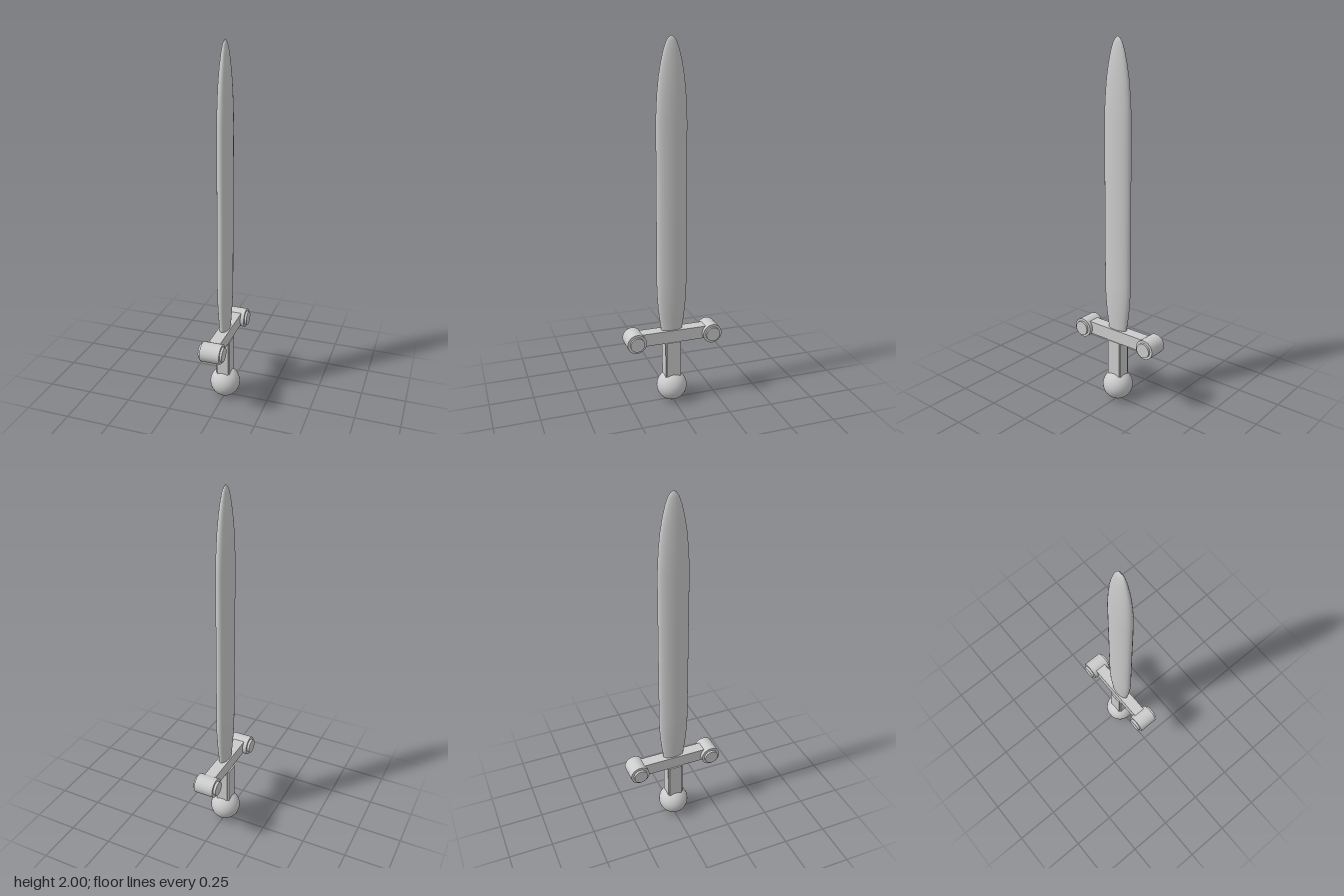
import * as THREE from 'three';

const material = new THREE.MeshStandardMaterial({ color: 0xcccccc });

function add(parent, name, geometry, x = 0, y = 0, z = 0) {
  const mesh = new THREE.Mesh(geometry, material);
  mesh.name = name;
  mesh.position.set(x, y, z);
  parent.add(mesh);
  return mesh;
}

// Cylinder lying along x between two x positions
function addBarrel(parent, name, radius, x0, x1, y, z) {
  const geometry = new THREE.CylinderGeometry(radius, radius, x1 - x0, 32);
  geometry.rotateZ(Math.PI / 2);
  return add(parent, name, geometry, (x0 + x1) / 2, y, z);
}

export function createModel() {
  const sword = new THREE.Group();
  sword.name = 'sword';
  const zMid = 0.004;

  // Blade: rounded profile, flattened to an elliptical section
  const profile = [
    [0, 0.4], [0.057, 0.4], [0.061, 0.44], [0.07, 0.5], [0.077, 0.56], [0.082, 0.63],
    [0.084, 0.7], [0.084, 1.1], [0.084, 1.57], [0.082, 1.64], [0.077, 1.72], [0.069, 1.8],
    [0.057, 1.87], [0.043, 1.93], [0.029, 1.97], [0.016, 1.99], [0, 2],
  ].map(([r, y]) => new THREE.Vector2(r, y));
  const blade = new THREE.LatheGeometry(profile, 40);
  blade.scale(0.43, 1, 1);
  add(sword, 'blade', blade, 0, 0, zMid);

  // Crossguard bar with a capped barrel at each end
  add(sword, 'crossguard', new THREE.BoxGeometry(0.066, 0.071, 0.4), 0, 0.395, 0);
  for (const [side, z] of [['front', 0.217], ['back', -0.219]]) {
    const end = new THREE.Group();
    end.name = side + 'GuardEnd';
    addBarrel(end, 'barrel', 0.054, -0.055, 0.054, 0.389, z);
    addBarrel(end, 'rightCap', 0.039, -0.069, -0.05, 0.389, z);
    addBarrel(end, 'leftCap', 0.04, 0.05, 0.066, 0.389, z);
    sword.add(end);
  }

  // Grip core with slightly raised side plates
  add(sword, 'grip', new THREE.BoxGeometry(0.064, 0.25, 0.09), 0, 0.245, zMid);
  add(sword, 'gripPlates', new THREE.BoxGeometry(0.079, 0.24, 0.076), -0.002, 0.24, 0.003);

  // Round pommel
  add(sword, 'pommel', new THREE.SphereGeometry(0.085, 32, 20), 0, 0.085, zMid);

  return sword;
}
